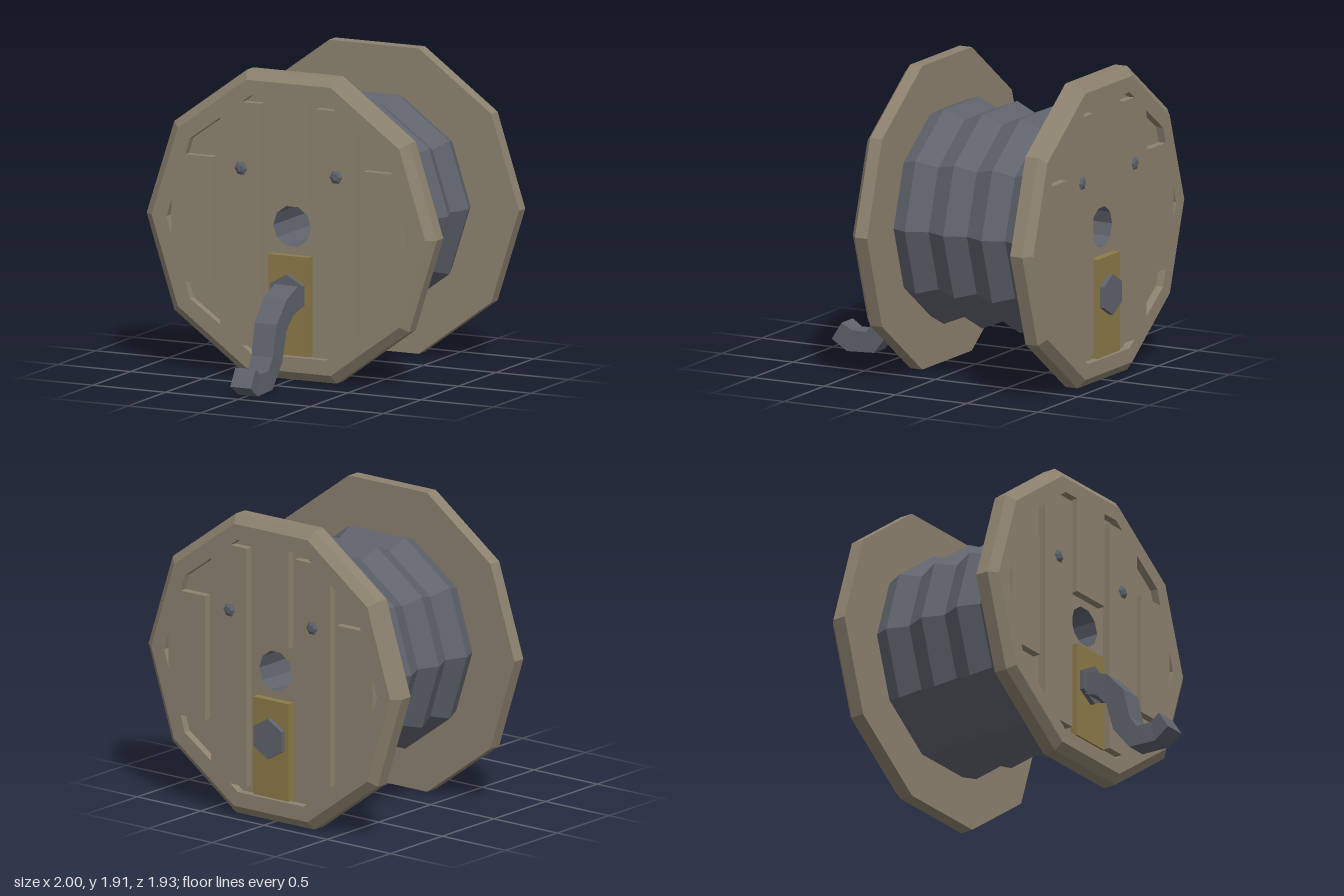
import * as THREE from 'three';

const CY = 0.954; // height of the spool axis
const SIDES = 10;

const wood = new THREE.MeshStandardMaterial({ color: 0x8d826f });
wood.name = 'weathered wood';
const metal = new THREE.MeshStandardMaterial({ color: 0x5e636c });
metal.name = 'grey metal';
const ochre = new THREE.MeshStandardMaterial({ color: 0x8c7a48 });
ochre.name = 'ochre panel';

// Mesh with faceted normals
function part(name, geometry, material) {
  const geo = geometry.index ? geometry.toNonIndexed() : geometry;
  geo.computeVertexNormals();
  const mesh = new THREE.Mesh(geo, material);
  mesh.name = name;
  return mesh;
}

// Ten-sided turned surface along z, from [radius, z] pairs, with a corner on the x axis
function turned(profile) {
  const pts = profile.map(([r, z]) => new THREE.Vector2(r, z));
  return new THREE.LatheGeometry(pts, SIDES, Math.PI / 2)
    .rotateX(Math.PI / 2).translate(0, CY, 0);
}

// Six-sided prism along z
function hexPrism(rFront, rBack, x, y, z0, z1, start) {
  return new THREE.CylinderGeometry(rFront, rBack, z1 - z0, 6, 1, false, start)
    .rotateX(Math.PI / 2).translate(x, y, (z0 + z1) / 2);
}

const toPath = (pts, mirror = 1) =>
  new THREE.Path(pts.map(([x, y]) => new THREE.Vector2(x * mirror, y)));

function createFlange() {
  const g = new THREE.Group();

  // Disc with bevelled rim and a recessed floor
  g.add(part('flangeDisc', turned([
    [0.13, 0.2], [1, 0.2], [1, 0.285], [0.943, 0.33], [0.943, 0.28], [0.13, 0.28],
  ]), wood));

  // Face boards: a decagon plate with the gaps between the boards cut out
  const face = new THREE.Shape();
  for (let i = 0; i < SIDES; i++) {
    const a = (i / SIDES) * Math.PI * 2;
    const x = 0.943 * Math.cos(a), y = CY + 0.943 * Math.sin(a);
    if (i) face.lineTo(x, y); else face.moveTo(x, y);
  }
  face.closePath();
  const half = [[0.14, 0.15], [0.26, 0.15], [0.32, 0.195], [0.19, 0.195],
    [0.19, 1.71], [0.32, 1.71], [0.26, 1.755], [0.14, 1.755], [0.14, 1.13]];
  const centreGap = [...half, ...half.map(([x, y]) => [-x, y]).reverse()];
  const sideGap = [[0.47, 1.6], [0.68, 1.45], [0.71, 1.35], [0.52, 1.35],
    [0.52, 0.56], [0.71, 0.56], [0.68, 0.455], [0.47, 0.31]];
  const notch = [[0.84, CY], [0.805, 1.07], [0.805, 0.838]];
  face.holes.push(toPath(centreGap));
  for (const s of [-1, 1]) face.holes.push(toPath(sideGap, s), toPath(notch, s));
  g.add(part('faceBoards', new THREE.ExtrudeGeometry(face,
    { depth: 0.05, bevelEnabled: false }).translate(0, 0, 0.28), wood));

  // Coloured board below the axle hole
  g.add(part('ochreBoard',
    new THREE.BoxGeometry(0.28, 0.62, 0.05).translate(0, 0.47, 0.305), ochre));

  // Large hex nut and two small bolts
  g.add(part('hexNut', hexPrism(0.128, 0.128, 0, 0.54, 0.3, 0.36, 0), metal));
  for (const s of [-1, 1]) {
    g.add(part('bolt', hexPrism(0.022, 0.048, s * 0.327, 1.297, 0.328, 0.342, Math.PI / 2), metal));
  }
  return g;
}

function createCrank() {
  // Cross-sections: [upper z, upper y, lower z, lower y, half width]
  const sections = [
    [0.34, 0.61, 0.34, 0.455, 0.08],
    [0.508, 0.543, 0.43, 0.424, 0.08],
    [0.632, 0.408, 0.503, 0.346, 0.076],
    [0.679, 0.212, 0.554, 0.16, 0.073],
    [0.73, 0.134, 0.674, 0.01, 0.068],
    [0.834, 0.134, 0.865, 0.0, 0.065],
    [0.9, 0.176, 0.97, 0.067, 0.07],
  ];
  const pos = [], idx = [];
  for (const [uz, uy, lz, ly, w] of sections) {
    pos.push(w, uy, uz, -w, uy, uz, -w, ly, lz, w, ly, lz);
  }
  const last = (sections.length - 1) * 4;
  for (let k = 0; k < last; k += 4) {
    for (let j = 0; j < 4; j++) {
      const a = k + j, b = k + (j + 1) % 4;
      idx.push(a, b, b + 4, a, b + 4, a + 4);
    }
  }
  idx.push(0, 2, 1, 0, 3, 2, last, last + 1, last + 2, last, last + 2, last + 3);
  const geo = new THREE.BufferGeometry();
  geo.setAttribute('position', new THREE.Float32BufferAttribute(pos, 3));
  geo.setIndex(idx);
  return part('crankHandle', geo, metal);
}

export function createModel() {
  const model = new THREE.Group();
  model.name = 'cableSpool';

  const front = createFlange();
  front.name = 'frontFlange';
  const back = createFlange();
  back.name = 'backFlange';
  back.rotation.y = Math.PI;
  back.position.z = -0.605;
  model.add(front, back);

  // Wound cable: alternating ridges and valleys
  const profile = [[0.667, -0.805]];
  for (let i = 0; i < 7; i++) profile.push([i % 2 ? 0.648 : 0.706, -0.707 + i * 0.1345]);
  profile.push([0.667, 0.2]);
  model.add(part('cableWinding', turned(profile), metal));

  // Axle hole lining, facing inwards
  model.add(part('axleLining', turned([[0.13, 0.28], [0.13, -0.885]]), metal));

  model.add(createCrank());
  return model;
}
